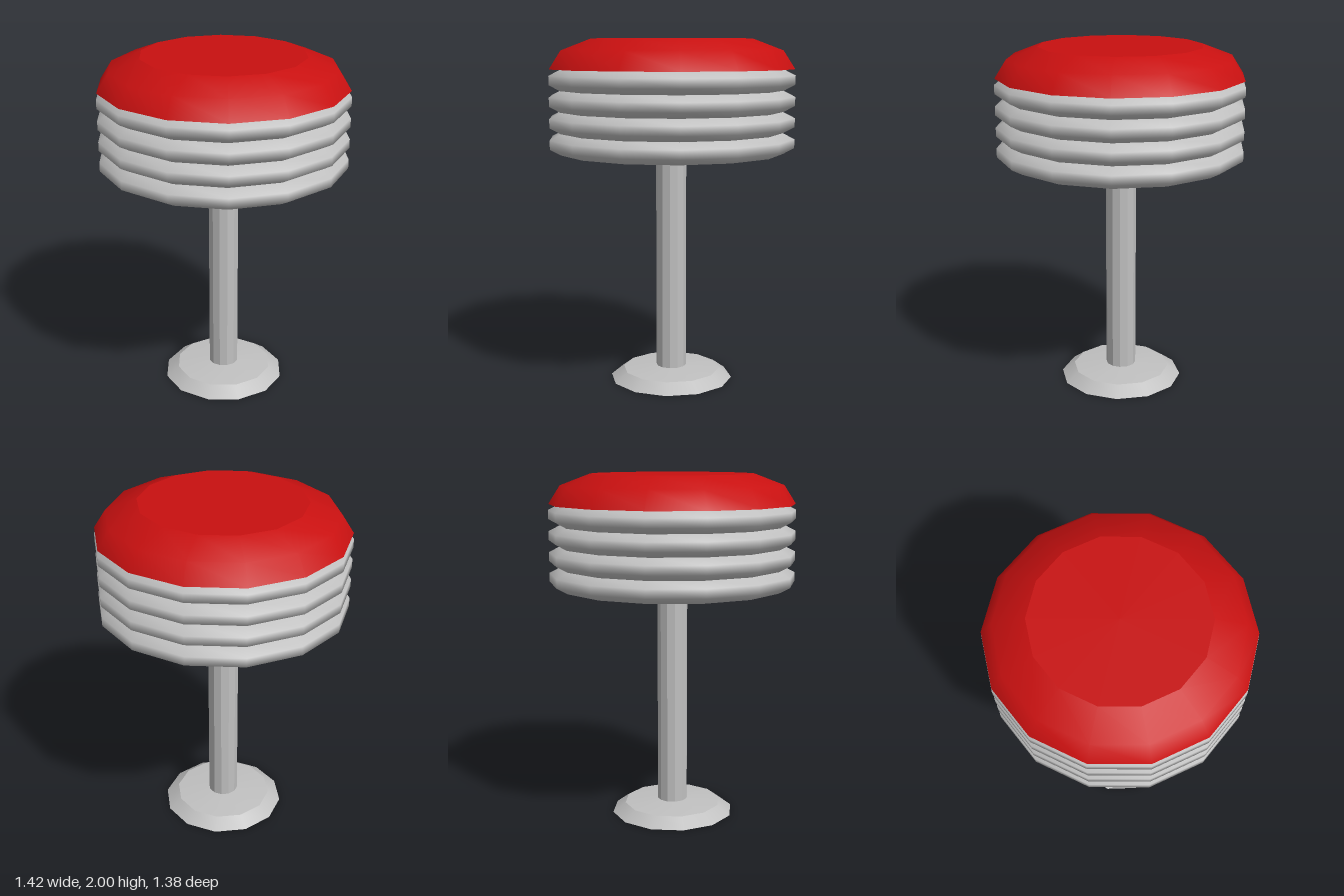
import * as THREE from 'three';
import { mergeGeometries } from 'three/addons/utils/BufferGeometryUtils.js';

// Lathe several profiles (bottom to top) into one geometry; edges between profiles stay sharp.
function lathe(profiles, sides) {
  return mergeGeometries(profiles.map((profile) => new THREE.LatheGeometry(
    profile.map(([r, y]) => new THREE.Vector2(r, y)), sides, Math.PI / 2)));
}

export function createModel() {
  const chrome = new THREE.MeshStandardMaterial({ name: 'chrome', color: 0xc0c0c0 });
  const red = new THREE.MeshStandardMaterial({ name: 'red vinyl', color: 0xc81010 });
  const group = new THREE.Group();
  group.name = 'stool';

  function add(name, geometry, material) {
    const mesh = new THREE.Mesh(geometry, material);
    mesh.name = name;
    group.add(mesh);
  }

  // Floor plate: underside, sloped rim, shallow cone
  add('base', lathe([
    [[0, 0], [0.36, 0]],
    [[0.36, 0], [0.285, 0.055]],
    [[0.285, 0.055], [0.085, 0.073], [0, 0.073]],
  ], 12), chrome);

  // Faceted post
  const post = new THREE.CylinderGeometry(0.088, 0.088, 1.29, 12, 1, true, Math.PI / 2).toNonIndexed();
  post.computeVertexNormals();
  post.translate(0, 0.065 + 1.29 / 2, 0);
  add('post', post, chrome);

  // Ribbed seat band: four stacked ridges over a flat underside
  const sides = 14, bottom = 1.352, top = 1.83, ridges = 4;
  const pitch = (top - bottom) / ridges;
  const band = [[[0, bottom], [0.645, bottom]]];
  for (let i = 0; i < ridges; i++) {
    const y = bottom + i * pitch;
    band.push([[0.645, y], [0.708, y + 0.034], [0.708, y + 0.085], [0.64, y + pitch]]);
  }
  // Underside of the cushion lip
  band.push([[0.6, top], [0.705, top]]);
  add('seatBand', lathe(band, sides), chrome);

  // Padded cushion with a flat top
  add('cushion', lathe([
    [[0.705, top], [0.638, 1.934], [0.465, 2]],
    [[0.465, 2], [0, 2]],
  ], sides), red);

  return group;
}
